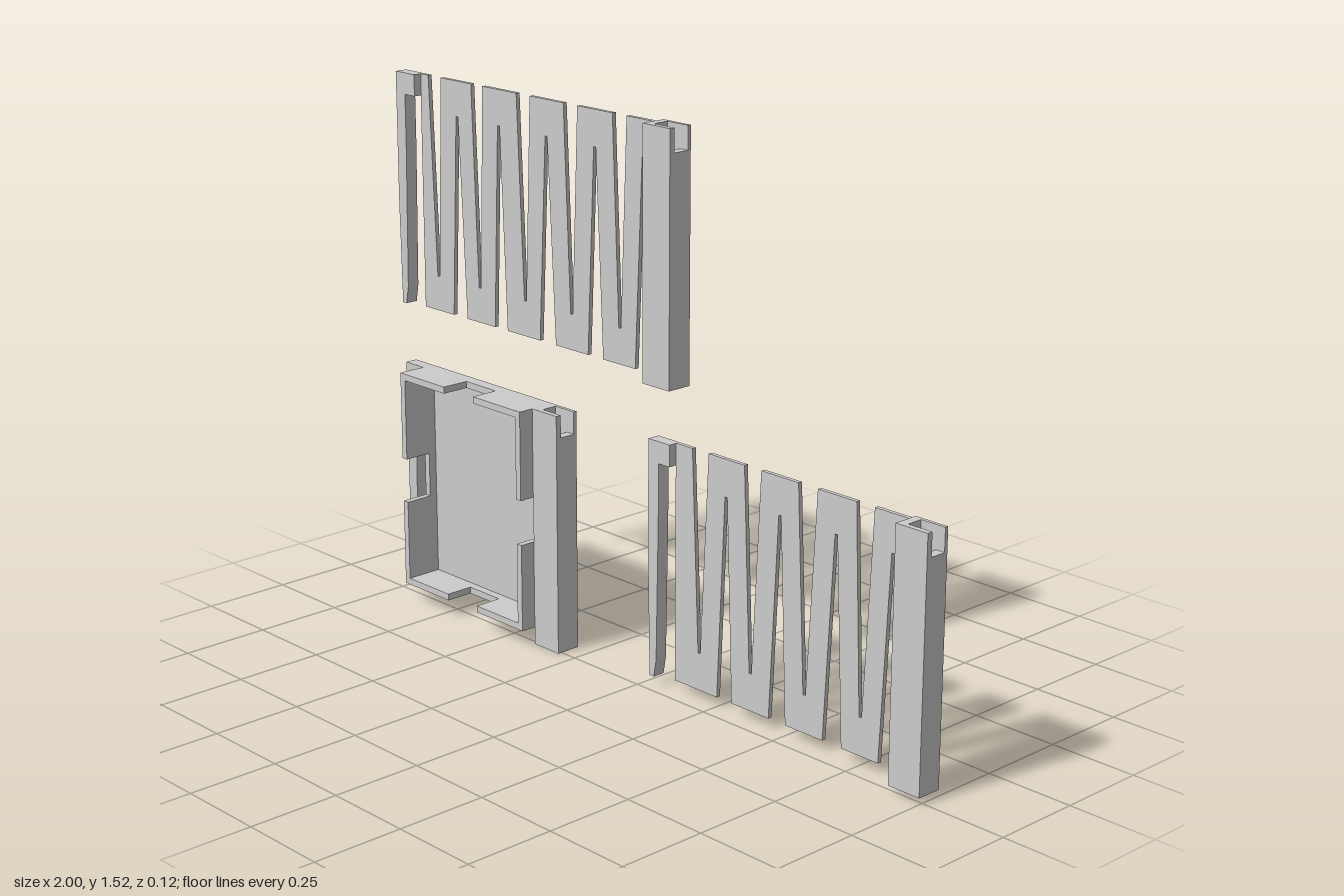
import * as THREE from 'three';

const material = new THREE.MeshStandardMaterial({ color: 0xcccccc, flatShading: true });
const BACK = -0.06, SHEET = -0.048, HOOK = -0.024;

function box(group, name, x0, x1, y0, y1, z0, z1) {
  const mesh = new THREE.Mesh(new THREE.BoxGeometry(x1 - x0, y1 - y0, z1 - z0), material);
  mesh.position.set((x0 + x1) / 2, (y0 + y1) / 2, (z0 + z1) / 2);
  mesh.name = name;
  group.add(mesh);
}

function plate(group, name, points, z0, z1) {
  const shape = new THREE.Shape(points.map(([x, y]) => new THREE.Vector2(x, y)));
  const geometry = new THREE.ExtrudeGeometry(shape, { depth: z1 - z0, bevelEnabled: false });
  const mesh = new THREE.Mesh(geometry, material);
  mesh.position.z = z0;
  mesh.name = name;
  group.add(mesh);
}

// Arm with a tapered pin hanging from its outer end
function hook(group, x0, x1, y0, y1) {
  const arm = y1 - 0.06;
  plate(group, 'hook', [
    [x0, y1], [x0, arm - 0.3], [x0 + 0.006, y0], [x0 + 0.022, y0], [x0 + 0.031, y0 + 0.05],
    [x0 + 0.038, arm - 0.15], [x0 + 0.038, arm], [x1, arm], [x1, y1],
  ], BACK, HOOK);
}

// Upright socket: deep pin hole, with a notch through the outer wall at the top
function socket(group, x0, x1, y0, y1) {
  const a = x0 + 0.025, b = x1 - 0.027, z0 = -0.05, z1 = -0.004, front = 0.012;
  box(group, 'socketBack', x0, x1, y0, y1, BACK, z0);
  box(group, 'socketFront', x0, x1, y0, y1, z1, front);
  box(group, 'socketInnerWall', x0, a, y0, y1, z0, z1);
  box(group, 'socketOuterWall', b, x1, y0, y1 - 0.063, z0, z1);
  box(group, 'socketFloor', a, b, y0, y0 + 0.02, z0, z1);
}

// Thin sheet cut by alternating tapered slots; each slot is [left, right] at its open end
function spring(group, x0, x1, y0, y1, topSlots, bottomSlots, topTip, bottomTip) {
  const points = [[x0, y0]];
  const cut = ([l, r], edge, tip) => {
    const m = (l + r) / 2, w = 0.004;
    points.push([l, edge], [m - w, tip], [m + w, tip], [r, edge]);
  };
  bottomSlots.forEach((s) => cut(s, y0, bottomTip));
  points.push([x1, y0], [x1, y1]);
  [...topSlots].reverse().forEach(([l, r]) => cut([r, l], y1, topTip));
  points.push([x0, y1]);
  // the top slots run right to left, so keep their tips in that order
  for (let i = 0; i < points.length - 1; i++) {
    const [a, b] = [points[i], points[i + 1]];
    if (a[1] === topTip && b[1] === topTip && a[0] < b[0]) [points[i], points[i + 1]] = [b, a];
  }
  plate(group, 'springSheet', points, BACK, SHEET);
}

function longStrap() {
  const g = new THREE.Group();
  g.name = 'longStrap';
  hook(g, -1, -0.92, 0.855, 1.513);
  spring(g, -0.922, 0.04, 0.852, 1.513,
    [[-0.888, -0.834], [-0.706, -0.658], [-0.519, -0.465], [-0.332, -0.278], [-0.144, -0.091]],
    [[-0.797, -0.738], [-0.62, -0.567], [-0.433, -0.369], [-0.241, -0.182], [-0.059, 0]],
    0.95, 1.415);
  socket(g, 0.032, 0.13, 0.845, 1.52);
  return g;
}

function shortStrap() {
  const g = new THREE.Group();
  g.name = 'shortStrap';
  hook(g, 0.016, 0.095, 0.027, 0.686);
  spring(g, 0.094, 0.91, 0.027, 0.686,
    [[0.155, 0.214], [0.342, 0.401], [0.529, 0.594], [0.722, 0.781]],
    [[0.251, 0.305], [0.438, 0.497], [0.626, 0.69], [0.813, 0.872]],
    0.13, 0.585);
  socket(g, 0.9, 1, 0.017, 0.692);
  return g;
}

// Shallow case whose four walls each drop to a low sill in the middle
function tray() {
  const g = new THREE.Group();
  g.name = 'tray';
  const x0 = -0.912, x1 = -0.4, y0 = 0.05, y1 = 0.68, t = 0.019, top = 0.057;
  box(g, 'trayFloor', x0, x1, y0, y1, BACK, SHEET);
  for (const [a, b] of [[y0, y0 + t], [y1 - t, y1]]) {
    box(g, 'traySill', x0, x1, a, b, SHEET, HOOK);
    box(g, 'trayWall', x0, -0.72, a, b, HOOK, top);
    box(g, 'trayWall', -0.595, x1, a, b, HOOK, top);
  }
  for (const [a, b] of [[x0, x0 + t], [x1 - t, x1]]) {
    box(g, 'traySill', a, b, y0 + t, y1 - t, SHEET, HOOK);
    box(g, 'trayWall', a, b, y0 + t, 0.3, HOOK, top);
    box(g, 'trayWall', a, b, 0.428, y1 - t, HOOK, top);
  }
  hook(g, -0.987, x0, 0.018, y1);
  socket(g, x1, -0.303, 0, 0.68);
  return g;
}

export function createModel() {
  const model = new THREE.Group();
  model.name = 'strapSet';
  model.add(longStrap(), shortStrap(), tray());
  return model;
}
